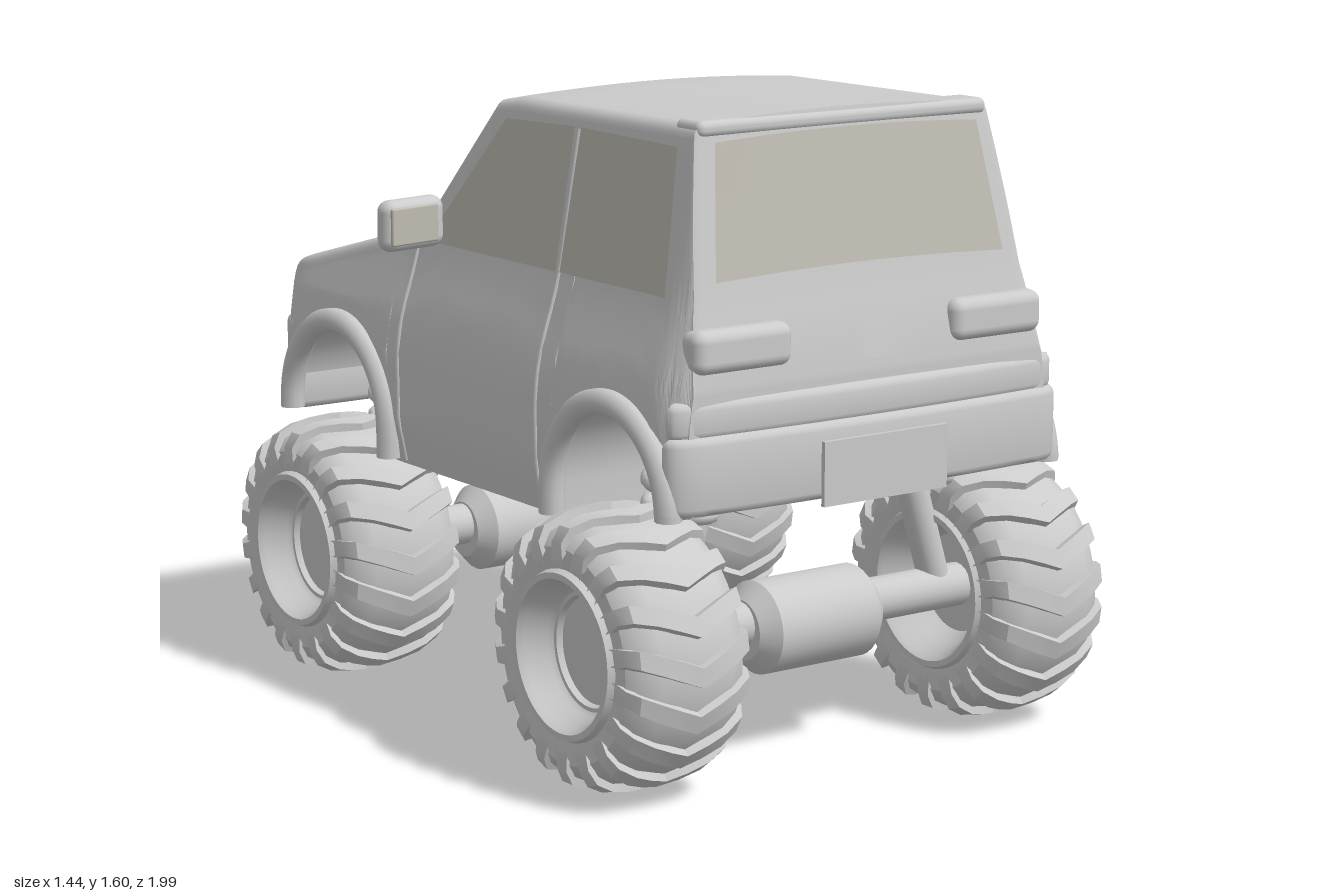
import * as THREE from 'three';
import { mergeGeometries, toCreasedNormals } from 'three/addons/utils/BufferGeometryUtils.js';
import { RoundedBoxGeometry } from 'three/addons/geometries/RoundedBoxGeometry.js';

const paint = new THREE.MeshStandardMaterial({ color: 0xcccccc });
const sheet = new THREE.MeshStandardMaterial({ color: 0xcccccc, side: THREE.DoubleSide });
const glass = new THREE.MeshStandardMaterial({ color: 0xbfbbb2, side: THREE.DoubleSide });
const V = (x, y, z) => new THREE.Vector3(x, y, z);
const ARCHES = [{ z: -0.6, r: 0.25, y: 0.69 }, { z: 0.65, r: 0.24, y: 0.69 }];
const AXLES = [-0.605, 0.66], AXLE_Y = 0.343;

// Piecewise linear lookup in a list of [key, value]
function table(pts, k) {
  if (k <= pts[0][0]) return pts[0][1];
  for (let i = 1; i < pts.length; i++) {
    const [a, va] = pts[i - 1], [b, vb] = pts[i];
    if (k <= b) return va + (vb - va) * (k - a) / (b - a);
  }
  return pts[pts.length - 1][1];
}
const halfWidth = y => table([[0.61, 0.55], [0.66, 0.56], [0.72, 0.573], [0.9, 0.575], [1.0, 0.56],
  [1.1, 0.527], [1.18, 0.503], [1.55, 0.438], [1.6, 0.42]], y);
const topLine = z => table([[-0.92, 1.04], [-0.9, 1.062], [-0.3, 1.225], [-0.03, 1.565], [0.06, 1.58],
  [0.8, 1.585], [0.875, 1.2], [0.92, 1.0]], z);
const taper = z => 1 - 0.07 * Math.max(0, (Math.abs(z) - 0.8) / 0.12) ** 2;

// Surface through rows of points; normals follow row direction x column direction
function grid(rows) {
  const n = rows[0].length, idx = [];
  for (let i = 0; i + 1 < rows.length; i++) for (let j = 0; j + 1 < n; j++) {
    const a = i * n + j;
    idx.push(a, a + n, a + 1, a + 1, a + n, a + n + 1);
  }
  const g = new THREE.BufferGeometry().setFromPoints(rows.flat());
  g.setIndex(idx);
  g.computeVertexNormals();
  return g;
}

function bottomLine(z) {
  for (const a of ARCHES) {
    const d = Math.abs(z - a.z);
    if (d <= a.r + 1e-6) return a.y + Math.sqrt(Math.max(0, a.r * a.r - d * d));
  }
  return z > 0.65 ? 0.7 : z < -0.6 ? 0.66 : 0.61;
}

// Half of a body cross-section on the -x side, from the lower edge to the centre line
function halfSection(z) {
  const r = 0.035, yb = bottomLine(z), yt = topLine(z), ys = yt - r, k = taper(z), pts = [];
  for (let i = 0; i <= 14; i++) {
    const y = yb + (ys - yb) * i / 14;
    pts.push(V(-halfWidth(y) * k, y, z));
  }
  const xe = halfWidth(ys) * k - r;
  for (let i = 1; i <= 4; i++) {
    const a = i / 4 * Math.PI / 2;
    pts.push(V(-xe - r * Math.cos(a), ys + r * Math.sin(a), z));
  }
  for (let i = 1; i <= 6; i++) pts.push(V(-xe * (1 - i / 6), yt + 0.015 * (1 - (1 - i / 6) ** 2), z));
  return pts;
}
const flip = pts => pts.map(p => V(-p.x, p.y, p.z));

function bodyShell() {
  const zs = [-0.92, -0.9, -0.8505, -0.3495, -0.3, -0.2, -0.1, -0.03, 0.06, 0.2, 0.4095, 0.8, 0.8375, 0.875, 0.8905, 0.92];
  for (const a of ARCHES) for (let i = 0; i <= 16; i++) zs.push(a.z - a.r * Math.cos(i / 16 * Math.PI));
  zs.sort((a, b) => a - b);
  const shell = grid(zs.map(z => { const h = halfSection(z); return [...h, ...flip(h).reverse().slice(1)]; }));
  const f = halfSection(-0.92), b = halfSection(0.92);
  return toCreasedNormals(mergeGeometries([shell, grid([flip(f), f]), grid([b, flip(b)])]), 0.45);
}

// Glass laid on the sloping top surface between two z positions
function slopeGlass(z0, x0, z1, x1, dy, dz) {
  const rows = [];
  for (let i = 0; i <= 6; i++) {
    const t = i / 6, z = z0 + (z1 - z0) * t, w = x0 + (x1 - x0) * t, row = [];
    for (let j = -6; j <= 6; j++) row.push(V(w * j / 6, topLine(z) + 0.015 * (1 - (j / 6) ** 2 * 0.8) + dy, z + dz));
    rows.push(row);
  }
  return grid(rows);
}

function sideGlass(s, pts) {
  const g = new THREE.ShapeGeometry(new THREE.Shape(pts.map(p => new THREE.Vector2(...p))));
  const p = g.attributes.position;
  for (let i = 0; i < p.count; i++) p.setXYZ(i, s * (halfWidth(p.getY(i)) + 0.006), p.getY(i), p.getX(i));
  g.computeVertexNormals();
  return g;
}

// Bumper bar with a curved plan; s is the end of the car in z
function bumperBar(s, half, inner, outer, y0, y1) {
  const sh = new THREE.Shape();
  sh.moveTo(-half, s * inner);
  sh.quadraticCurveTo(-half, s * (outer - 0.02), -half + 0.1, s * (outer - 0.015));
  sh.quadraticCurveTo(0, s * (outer + 0.015), half - 0.1, s * (outer - 0.015));
  sh.quadraticCurveTo(half, s * (outer - 0.02), half, s * inner);
  const b = 0.02;
  const g = new THREE.ExtrudeGeometry(sh, { depth: y1 - y0 - 2 * b, bevelSize: b, bevelThickness: b, bevelOffset: -b, bevelSegments: 3, curveSegments: 10 });
  g.rotateX(Math.PI / 2).translate(0, y1 - b, 0);
  return toCreasedNormals(g, 0.6);
}

// Chevron lugs around the tyre; d sets the direction they point
function lugs(d) {
  const prof = [[-0.168, 0.24, -0.01], [-0.167, 0.262, 0.012], [-0.148, 0.292, 0.018], [-0.1, 0.314, 0.018], [-0.05, 0.322, 0.018], [0, 0.325, 0.018]];
  const full = [...prof, ...prof.slice(0, -1).reverse().map(([x, r, h]) => [-x, r, h])];
  const all = [];
  for (let k = 0; k < 18; k++) {
    all.push(grid(full.map(([x, r, h]) => {
      const t = k / 18 * Math.PI * 2 + d * 0.2 * Math.abs(x) / 0.16;
      return [[-0.095, -0.025], [-0.07, h], [0.07, h], [0.095, -0.025]].map(([o, e]) =>
        V(x * 1.03, (r + e) * Math.sin(t + o), (r + e) * Math.cos(t + o)));
    })));
  }
  return toCreasedNormals(mergeGeometries(all), 0.5);
}

function wheelGeometry() {
  const prof = [[0, -0.06], [0.125, -0.06], [0.15, -0.1], [0.175, -0.155], [0.185, -0.168], [0.2, -0.168], [0.207, -0.155],
    [0.22, -0.158], [0.26, -0.164], [0.292, -0.145], [0.314, -0.1], [0.325, 0], [0.314, 0.1], [0.292, 0.145], [0.26, 0.164],
    [0.22, 0.158], [0.207, 0.155], [0.2, 0.172], [0.185, 0.172], [0.175, 0.155], [0.155, 0.1], [0.145, 0.09], [0.135, 0.09], [0.13, 0.075], [0, 0.08]];
  const g = new THREE.LatheGeometry(prof.map(p => new THREE.Vector2(...p)), 48);
  return toCreasedNormals(g.rotateZ(-Math.PI / 2), 0.6);
}

export function createModel() {
  const car = new THREE.Group();
  const add = (name, geo, mat = paint, x = 0, y = 0, z = 0) => {
    const m = new THREE.Mesh(geo, mat);
    m.name = name;
    m.position.set(x, y, z);
    car.add(m);
    return m;
  };
  const rbox = (w, h, d, r) => new RoundedBoxGeometry(w, h, d, 3, r);
  const rod = (a, b, r) => new THREE.TubeGeometry(new THREE.LineCurve3(a, b), 1, r, 20);

  // Body, windows and trim
  add('bodyShell', bodyShell(), sheet);
  add('windshield', slopeGlass(-0.285, 0.455, -0.045, 0.385, 0.006, -0.004), glass);
  add('rearWindow', slopeGlass(0.809, 0.39, 0.87, 0.43, 0, 0.008), glass);
  add('roofLip', rbox(0.86, 0.04, 0.1, 0.018), paint, 0, 1.572, 0.762);
  add('rearBumper', bumperBar(1, 0.585, 0.885, 0.955, 0.7, 0.885));
  add('rearLedge', bumperBar(1, 0.575, 0.885, 0.94, 0.875, 0.965));
  add('frontBumper', bumperBar(-1, 0.56, 0.84, 0.985, 0.785, 0.91));
  add('frontBumperLower', bumperBar(-1, 0.55, 0.84, 0.965, 0.66, 0.78));
  add('rearPlate', new THREE.BoxGeometry(0.37, 0.155, 0.012), paint, 0, 0.767, 0.968);
  add('frontPlate', new THREE.BoxGeometry(0.37, 0.155, 0.012), paint, 0, 0.685, -0.978).rotation.x = -0.08;
  for (const y of [0.945, 0.985, 1.02]) add('grilleBar', rbox(0.64, 0.022, 0.04, 0.008), paint, 0, y, -0.917);

  // Underside
  const tunnel = new THREE.Shape([[0.91, 0.71], [0.41, 0.612], [-0.35, 0.612], [-0.91, 0.66], [-0.91, 0.9], [0.91, 0.9]]
    .map(([z, y]) => new THREE.Vector2(-z, y)));
  const under = new THREE.ExtrudeGeometry(tunnel, { depth: 0.54, bevelEnabled: false });
  add('underbody', under.rotateY(Math.PI / 2).translate(-0.27, 0, 0));
  add('floor', new THREE.BoxGeometry(1.09, 0.28, 0.755), paint, 0, 0.752, 0.03);

  for (const s of [1, -1]) {
    add('rearSideWindow', sideGlass(s, [[0.785, 1.19], [0.75, 1.53], [0.355, 1.535], [0.35, 1.19]]), glass);
    add('doorWindow', sideGlass(s, [[0.332, 1.19], [0.328, 1.535], [0.03, 1.525], [-0.205, 1.25], [-0.22, 1.19]]), glass);
    add('tailLight', rbox(0.28, 0.105, 0.08, 0.03), paint, s * 0.38, 1.077, 0.892);
    add('headlight', rbox(0.21, 0.115, 0.09, 0.025), paint, s * 0.415, 0.98, -0.885);
    // Door seams following the side of the body
    for (const z of [0.343, -0.295]) {
      const top = z > 0 ? 1.53 : 1.18;
      const pts = Array.from({ length: 12 }, (_, i) => 0.62 + (top - 0.62) * i / 11).map(y => V(s * halfWidth(y), y, z));
      add('doorSeam', new THREE.TubeGeometry(new THREE.CatmullRomCurve3(pts), 24, 0.006, 6));
    }
    // Mirror
    add('mirrorHousing', rbox(0.195, 0.13, 0.065, 0.03), paint, s * 0.595, 1.25, -0.19).rotation.y = -s * 0.2;
    add('mirrorGlass', rbox(0.155, 0.095, 0.012, 0.005), glass, s * 0.601, 1.25, -0.159).rotation.y = -s * 0.2;

    for (const a of ARCHES) {
      // Wheel arch flare and inner liner
      const arc = [];
      for (let i = 0; i <= 20; i++) {
        const t = i / 20 * Math.PI;
        arc.push([a.z - a.r * Math.cos(t), a.y + a.r * Math.sin(t)]);
      }
      const end = z => [z, z > 0.8 ? 0.71 : z < -0.8 ? 0.67 : 0.62];
      const line = [end(a.z - a.r), ...arc, end(a.z + a.r)];
      const flare = new THREE.CatmullRomCurve3(line.map(([z, y]) => V(s * 0.572, y, z)));
      add('archFlare', new THREE.TubeGeometry(flare, 48, 0.032, 10));
      add('archLiner', grid([0.27, 0.57].map(x => line.map(([z, y]) => V(s * x, y, z)))), sheet);
    }
  }

  // Running gear
  const wheel = wheelGeometry();
  const diff = new THREE.LatheGeometry([[0, -0.19], [0.075, -0.19], [0.116, -0.15], [0.116, 0.15], [0.075, 0.19], [0, 0.19]]
    .map(p => new THREE.Vector2(...p)), 32).rotateZ(-Math.PI / 2);
  const tread = lugs(1);
  for (const z of AXLES) {
    add('axle', rod(V(-0.5, 0.34, z), V(0.5, 0.34, z), 0.055));
    add('differential', toCreasedNormals(diff, 0.5), paint, 0, 0.325, z);
    for (const s of [1, -1]) {
      add('wheel', wheel, paint, s * 0.548, AXLE_Y, z).rotation.y = s > 0 ? 0 : Math.PI;
      add('tyreTread', tread, paint, s * 0.548, AXLE_Y, z);
      add('strut', rod(V(s * 0.42, 0.34, z), V(s * 0.315, 0.68, z), 0.04));
      const coil = Array.from({ length: 81 }, (_, i) => {
        const t = i / 80 * 5 * Math.PI * 2;
        return V(s * 0.375 + 0.075 * Math.cos(t), 0.63 + 0.3 * i / 80, z + 0.075 * Math.sin(t));
      });
      add('spring', new THREE.TubeGeometry(new THREE.CatmullRomCurve3(coil), 160, 0.019, 8));
    }
  }
  return car;
}
